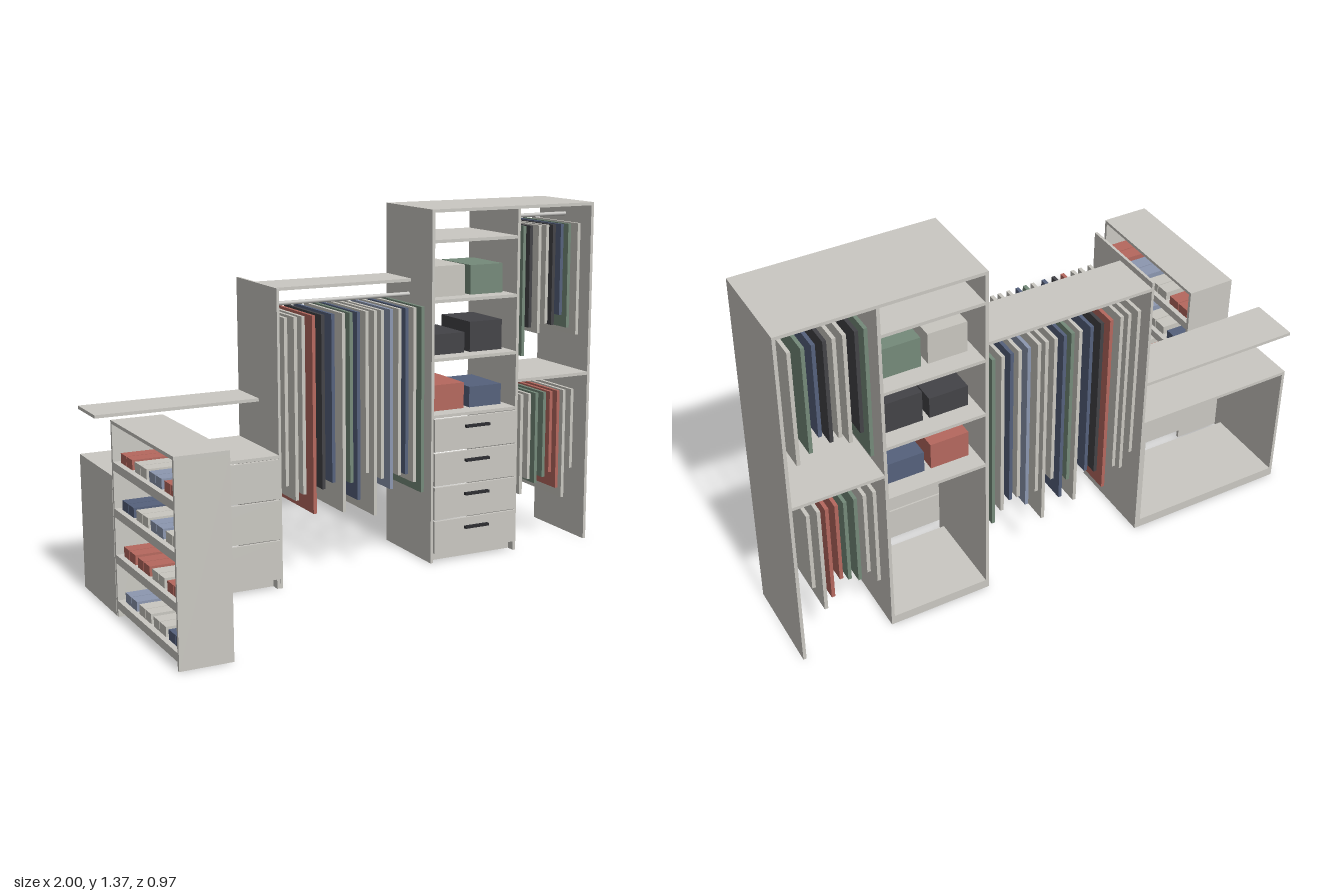
import * as THREE from 'three';

const mat = (name, color) => Object.assign(new THREE.MeshStandardMaterial({ color }), { name });

export function createModel() {
  const root = new THREE.Group();
  root.name = 'wardrobeSystem';
  const M = {
    body: mat('warm grey board', 0xcac8c2),
    grey: mat('pale fabric', 0xc9c7c0),
    red: mat('brick red', 0xb5685e),
    navy: mat('slate navy', 0x55617c),
    blue: mat('dusty blue', 0x8c97b0),
    green: mat('sage green', 0x758a7a),
    dark: mat('charcoal', 0x434347),
    handle: mat('black handle', 0x2c2c30),
    rod: mat('rod metal', 0xc2c1be),
  };
  const T = 0.012, BACK = -0.485, FRONT = -0.125, MID = -0.305;

  const group = (name) => {
    const g = new THREE.Group();
    g.name = name;
    root.add(g);
    return g;
  };
  // Box given by its limits on each axis
  const box = (parent, name, m, x0, x1, y0, y1, z0, z1) => {
    const b = new THREE.Mesh(new THREE.BoxGeometry(x1 - x0, y1 - y0, z1 - z0), m);
    b.name = name;
    b.position.set((x0 + x1) / 2, (y0 + y1) / 2, (z0 + z1) / 2);
    parent.add(b);
    return b;
  };
  const rod = (parent, x0, x1, y) => {
    const r = new THREE.Mesh(new THREE.CylinderGeometry(0.008, 0.008, x1 - x0, 16), M.rod);
    r.name = 'hangingRod';
    r.rotation.z = Math.PI / 2;
    r.position.set((x0 + x1) / 2, y, MID);
    parent.add(r);
  };
  // Stack of drawer fronts, each with a bar handle
  const drawers = (parent, x0, x1, y0, y1, n) => {
    const h = (y1 - y0) / n, cx = (x0 + x1) / 2;
    for (let i = 0; i < n; i++) {
      const b = y0 + i * h, top = b + h;
      box(parent, 'drawerFront', M.body, x0, x1, b + 0.003, top - 0.003, FRONT, FRONT + T);
      box(parent, 'drawerHandle', M.handle, cx - 0.053, cx + 0.053, top - 0.045, top - 0.035, FRONT + T, -0.098);
    }
  };
  // Garments: [x, hem height, colour]
  const garments = (parent, top, list) => {
    for (const [x, hem, c] of list)
      box(parent, 'garment', M[c], x - 0.0065, x + 0.0065, hem, top, MID - 0.165, MID + 0.16);
  };

  // Shoe rack, open on both long sides
  const rack = group('shoeRack');
  const RX0 = -1, RX1 = -0.81, RZ0 = -0.12, RZ1 = 0.483;
  box(rack, 'rackFrontPanel', M.body, RX0, RX1, 0, 0.693, RZ1 - T, RZ1);
  box(rack, 'rackBackPanel', M.body, RX0, RX1, 0, 0.693, RZ0, RZ0 + T);
  box(rack, 'rackTop', M.body, RX0, RX1, 0.693, 0.705, RZ0, RZ1);
  const shoeRows = [
    ['navy', 'grey', 'grey', 'blue'],
    ['red', 'grey', 'red', 'red'],
    ['grey', 'blue', 'grey', 'navy'],
    ['red', 'blue', 'grey', 'red'],
  ];
  shoeRows.forEach((row, i) => {
    const y = 0.06 + i * 0.1665;
    box(rack, 'shoeShelf', M.body, RX0, RX1, y - 0.03, y, RZ0 + T, RZ1 - T);
    row.forEach((c, j) => {
      const z = 0.4 - j * 0.1407;
      for (const s of [-1, 1])
        box(rack, 'shoe', M[c], -0.98, -0.83, y, y + 0.035, z + s * 0.03 - 0.028, z + s * 0.03 + 0.028);
    });
  });

  // Low dresser, open at the back
  const dresser = group('dresser');
  const DX0 = -1, DX1 = -0.37;
  box(dresser, 'dresserLeftSide', M.body, DX1 - T, DX1, 0, 0.495, BACK, FRONT);
  box(dresser, 'dresserRightSide', M.body, DX0, DX0 + T, 0, 0.495, BACK, FRONT);
  box(dresser, 'dresserTop', M.body, DX0, DX1, 0.495, 0.507, BACK, FRONT + 0.005);
  box(dresser, 'dresserFloor', M.body, DX0 + T, DX1 - T, 0, 0.036, BACK, FRONT - 0.035);
  drawers(dresser, DX0 + 0.008, DX1 - 0.002, 0.037, 0.496, 3);
  box(dresser, 'wallShelf', M.body, DX0, DX1, 0.675, 0.687, BACK, -0.295);

  // Long hanging bay
  const bay = group('longHangingBay');
  box(bay, 'bayPanel', M.body, -0.37, -0.36, 0, 1.117, BACK, FRONT + 0.003);
  box(bay, 'bayShelf', M.body, -0.36, 0.27, 1.083, 1.095, BACK, -0.287);
  rod(bay, -0.36, 0.27, 1.034);
  garments(bay, 1.005, [
    [-0.326, 0.38, 'grey'], [-0.287, 0.32, 'grey'], [-0.256, 0.34, 'grey'], [-0.214, 0.26, 'red'],
    [-0.177, 0.35, 'dark'], [-0.136, 0.37, 'navy'], [-0.092, 0.25, 'grey'], [-0.061, 0.36, 'green'],
    [-0.031, 0.29, 'navy'], [0.005, 0.39, 'grey'], [0.04, 0.22, 'grey'], [0.069, 0.36, 'grey'],
    [0.108, 0.315, 'blue'], [0.143, 0.365, 'grey'], [0.174, 0.365, 'navy'], [0.208, 0.33, 'grey'],
    [0.243, 0.285, 'green'],
  ]);

  // Tall tower: uprights, shared top, shelves and drawers
  const tower = group('tallTower');
  for (const x of [0.27, 0.648, 0.988])
    box(tower, 'towerUpright', M.body, x, x + T, 0, 1.358, BACK, FRONT);
  box(tower, 'towerTop', M.body, 0.27, 1, 1.358, 1.37, BACK, FRONT);
  for (const y of [0.586, 0.806, 1.03, 1.256])
    box(tower, 'towerShelf', M.body, 0.282, 0.648, y - T, y, BACK, FRONT);
  box(tower, 'towerFloor', M.body, 0.282, 0.648, 0, 0.036, BACK, FRONT - 0.035);
  drawers(tower, 0.28, 0.65, 0.037, 0.575, 4);

  // Storage boxes: [column, shelf height, box height, colour]
  const storage = [
    [0, 1.03, 0.118, 'grey'], [1, 1.03, 0.114, 'green'],
    [0, 0.806, 0.08, 'dark'], [1, 0.806, 0.118, 'dark'],
    [0, 0.586, 0.102, 'red'], [1, 0.586, 0.082, 'navy'],
  ];
  for (const [col, y, h, c] of storage) {
    const x = 0.31 + col * 0.17;
    box(tower, 'storageBox', M[c], x, x + 0.145, y, y + h, MID - 0.11, MID + 0.11);
  }

  // Double hanging bay beside the shelves
  const dbl = group('doubleHangingBay');
  box(dbl, 'middleShelf', M.body, 0.66, 0.988, 0.682, 0.694, BACK, FRONT);
  rod(dbl, 0.66, 0.988, 1.313);
  rod(dbl, 0.66, 0.988, 0.65);
  garments(dbl, 1.288, [
    [0.692, 0.78, 'green'], [0.723, 0.89, 'dark'], [0.763, 0.865, 'grey'], [0.798, 0.9, 'grey'],
    [0.829, 0.893, 'dark'], [0.866, 0.93, 'navy'], [0.901, 0.877, 'green'], [0.946, 0.845, 'grey'],
  ]);
  garments(dbl, 0.625, [
    [0.693, 0.22, 'grey'], [0.729, 0.278, 'grey'], [0.763, 0.257, 'green'], [0.8, 0.278, 'green'],
    [0.831, 0.294, 'red'], [0.865, 0.225, 'red'], [0.894, 0.182, 'grey'], [0.932, 0.3, 'grey'],
  ]);

  return root;
}
